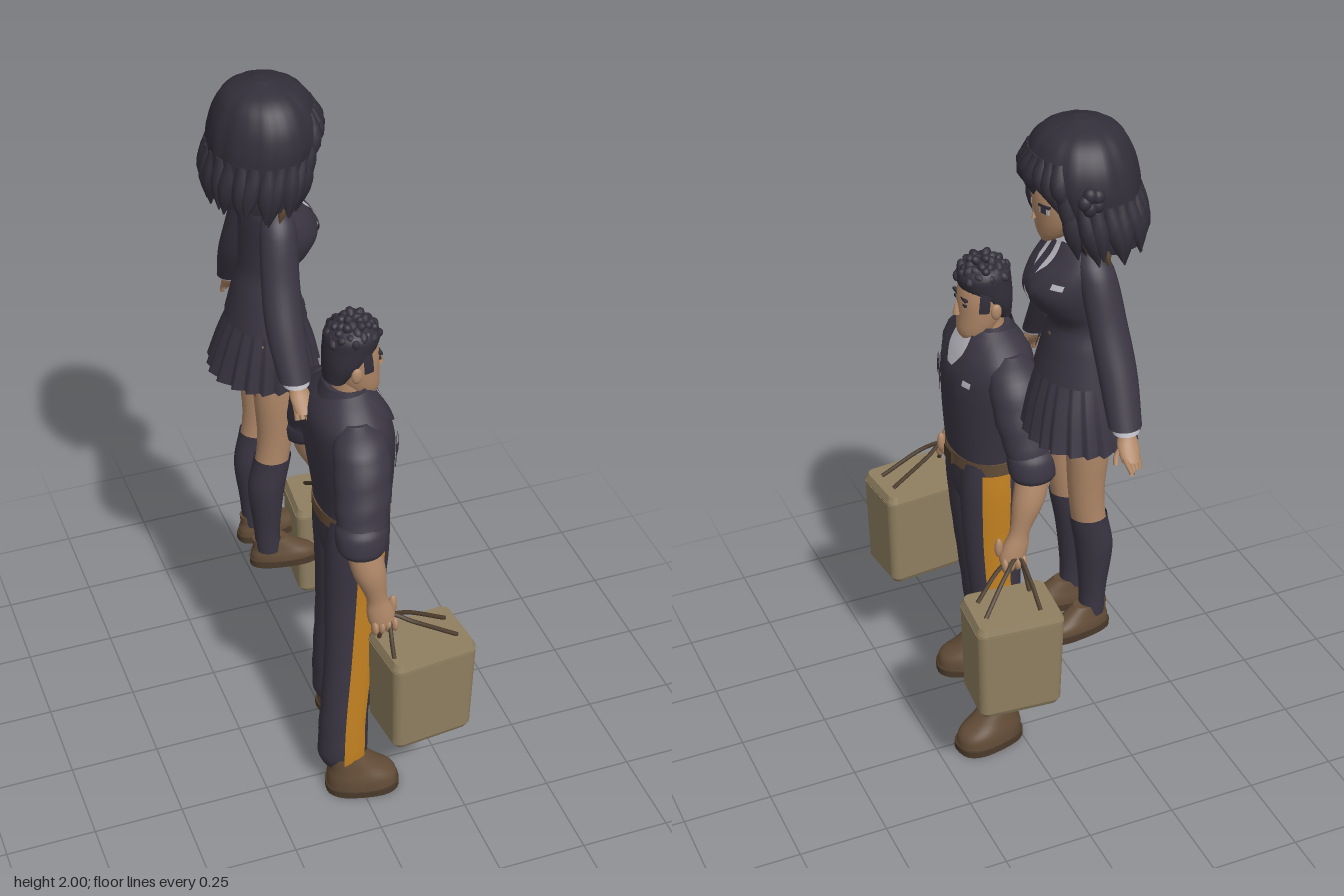
import * as THREE from 'three';
import { RoundedBoxGeometry } from 'three/addons/geometries/RoundedBoxGeometry.js';

const mat = (name, color) => new THREE.MeshStandardMaterial({ name, color, side: THREE.DoubleSide });
const M = {
  cloth: mat('navyCloth', 0x3a3542), hair: mat('darkHair', 0x322e39), skin: mat('skin', 0xb08868),
  flush: mat('flushedSkin', 0x955848), orange: mat('orangeStripe', 0xbe7e20), canvas: mat('bagCanvas', 0x8f7f60),
  leather: mat('brownLeather', 0x624c37), strap: mat('darkStrap', 0x4a3a2b), shirt: mat('paleShirt', 0xb9b9c0),
};
const PI = Math.PI, H = PI / 2;

function add(parent, name, geo, material, x = 0, y = 0, z = 0) {
  const m = new THREE.Mesh(geo, material);
  m.name = name; m.position.set(x, y, z); parent.add(m);
  return m;
}

// Smooth interpolation of sections [y, centreX, centreZ, radiusX, radiusZ]
function at(S, y) {
  let i = 0;
  while (i < S.length - 2 && y > S[i + 1][0]) i++;
  const a = S[i], b = S[i + 1], p = S[i - 1] || a, n = S[i + 2] || b, h = b[0] - a[0], t = (y - a[0]) / h;
  return [1, 2, 3, 4].map(k => {
    const m0 = (b[k] - p[k]) / (b[0] - p[0]) * h, m1 = (n[k] - a[k]) / (n[0] - a[0]) * h;
    const v = (2 * t ** 3 - 3 * t * t + 1) * a[k] + (t ** 3 - 2 * t * t + t) * m0 + (3 * t * t - 2 * t ** 3) * b[k] + (t ** 3 - t * t) * m1;
    return k > 2 ? Math.max(v, 0.001) : v;
  });
}

// Stacked-ellipse surface; an angle range [a0, a1] gives a thin patch lying on it (angle 0 faces +x)
function loft(S, o = {}) {
  S = [...S].sort((a, b) => a[0] - b[0]);
  const { y0 = S[0][0], y1 = S.at(-1)[0], a0, a1, grow = 0, seg = 28, rows = 6 * (S.length - 1), e = 1, open = false, ripple } = o;
  const full = a0 === undefined, cols = full ? seg : seg + 1, pos = [], idx = [];
  const val = (f, t) => typeof f === 'function' ? f(t) : f;
  const pw = v => Math.sign(v) * Math.abs(v) ** e;
  for (let i = 0; i <= rows; i++) {
    const t = (1 - Math.cos(PI * i / rows)) / 2, y = y0 + (y1 - y0) * t, [cx, cz, rx, rz] = at(S, y);
    for (let j = 0; j < cols; j++) {
      const a = full ? j / seg * 2 * PI : val(a0, t) + (val(a1, t) - val(a0, t)) * j / seg;
      const k = ripple ? ripple(a, t) : 1;
      pos.push(cx + pw(Math.cos(a)) * (rx + grow) * k, y, cz + pw(Math.sin(a)) * (rz + grow) * k);
    }
  }
  for (let i = 0; i < rows; i++) for (let j = 0; j < seg; j++) {
    const k = (j + 1) % cols, p = i * cols, q = p + cols;
    idx.push(p + j, q + j, p + k, q + j, q + k, p + k);
  }
  if (full && !open) for (const r of [0, rows]) {
    const base = pos.length / 3, [cx, cz] = at(S, r ? y1 : y0);
    for (let j = 0; j < cols; j++) pos.push(...pos.slice((r * cols + j) * 3, (r * cols + j) * 3 + 3));
    pos.push(cx, r ? y1 : y0, cz);
    for (let j = 0; j < cols; j++) {
      const k = base + (j + 1) % cols;
      idx.push(base + cols, ...(r ? [k, base + j] : [base + j, k]));
    }
  }
  const g = new THREE.BufferGeometry();
  g.setAttribute('position', new THREE.Float32BufferAttribute(pos, 3));
  g.setIndex(idx); g.computeVertexNormals();
  return g;
}
const ball = (rx, ry, rz) => new THREE.SphereGeometry(1, 14, 10).scale(rx, ry, rz);
const tube = (pts, r) => new THREE.TubeGeometry(new THREE.CatmullRomCurve3(pts.map(p => new THREE.Vector3(...p))), 20, r, 7);
// Mirror sections across the plane z = c, with an x shift growing downward from y = top
const mirror = (S, c, top = 0, shift = 0) => S.map(([y, x, z, a, b]) => [y, x + Math.max(0, top - y) * shift, 2 * c - z, a, b]);

function shoe(parent, x, y, z, turn, len, wid, high) {
  const g = new THREE.Group(); g.name = 'shoe'; g.position.set(x, y, z); g.rotation.y = turn; parent.add(g);
  add(g, 'sole', loft([[0, 0, 0, len, wid], [.02, 0, 0, len, wid]], { e: .75 }), M.strap);
  add(g, 'shoeUpper', loft([[.016, 0, 0, len * .97, wid * .95], [high * .42, -.004, 0, len * .92, wid * .92],
    [high * .65, -len * .2, 0, len * .7, wid * .8], [high, -len * .42, 0, len * .5, wid * .65]], { e: .85 }), M.leather);
}

function bag(parent, x, y, z, turn, hx, hz) {
  const g = new THREE.Group(); g.name = 'carryBag'; g.position.set(x, y, z); g.rotation.y = turn; parent.add(g);
  // Rounded case, narrowing slightly below and bevelled at the lid
  const [hw, hd, r] = [.122, .09, .025], s = new THREE.Shape();
  [[hw - r, hd - r, 0], [r - hw, hd - r, H], [r - hw, r - hd, PI], [hw - r, r - hd, 3 * H]].forEach(([cx, cy, a]) => s.absarc(cx, cy, r, a, a + H));
  const ring = (yy, h, top, low, name) => {
    const geo = new THREE.ExtrudeGeometry(s, { depth: h, bevelEnabled: false, curveSegments: 5 }).rotateX(-H), p = geo.attributes.position;
    for (let i = 0; i < p.count; i++) {
      const k = p.getY(i) > h / 2 ? top : low;
      p.setXYZ(i, p.getX(i) * k, p.getY(i), p.getZ(i) * k);
    }
    geo.computeVertexNormals();
    add(g, name, geo, M.canvas, 0, yy, 0);
  };
  ring(-.15, .014, .95, .88, 'bagBase');
  ring(-.136, .261, 1, .95, 'bagBody');
  ring(.125, .006, .985, .985, 'lidSeam');
  ring(.131, .019, .93, 1, 'bagLid');
  for (const q of [-1, 1]) add(g, 'bagHandle', tube([[hx - .01, .148, .045 * q], [hx - .005, .2, hz * .6 + .025 * q],
    [hx + .01, .243, hz], [hx + .06, .222, hz * .7 + .02 * q], [.085, .152, .036 * q]], .006), M.strap);
}

function worker() {
  const g = new THREE.Group(), C = .155; g.name = 'workerFigure';
  // Torso with placket, pockets and badge
  const T = [[.88, .03, C, .093, .126], [.95, .03, C, .099, .133], [1.05, .025, C, .108, .148], [1.15, .018, C, .112, .162],
    [1.21, .01, C, .1, .16], [1.25, .01, C, .08, .118], [1.285, .015, C, .055, .068]];
  const P = (name, m, y0, y1, a0, a1, grow) => add(g, name, loft(T, { e: .9, seg: 8, y0, y1, a0, a1, grow }), m);
  add(g, 'workShirt', loft(T, { e: .9, seg: 40 }), M.cloth);
  P('undershirt', M.shirt, 1.18, 1.27, t => -.06 - .38 * t, t => .06 + .38 * t, .004);
  P('placket', M.cloth, .92, 1.18, -.06, .06, .004);
  for (const s of [-1, 1]) {
    P('chestPocket', M.cloth, 1.06, 1.14, s * .55 - .2, s * .55 + .2, .004);
    P('pocketFlap', M.cloth, 1.115, 1.145, s * .55 - .23, s * .55 + .23, .008);
    P('collarWing', M.cloth, 1.18, 1.275, t => s * (.12 + .3 * t), t => s * (.3 + .9 * t), .008);
  }
  P('badge', M.shirt, 1.153, 1.17, -.65, -.45, .007);
  add(g, 'collar', loft([[1.24, .01, C, .078, .085], [1.295, .01, C, .06, .066]], { a0: .6, a1: 2 * PI - .6 }), M.cloth);
  add(g, 'hips', loft([[.69, .03, C, .045, .03], [.78, .03, C, .088, .11], [.9, .03, C, .095, .13]]), M.cloth);
  add(g, 'belt', loft([[.874, .03, C, .1, .134], [.91, .03, C, .1, .134]]), M.leather);
  add(g, 'beltBuckle', new THREE.BoxGeometry(.009, .038, .048), M.strap, .132, .892, C);
  // Head
  const F = [[1.245, .062, C, .024, .028], [1.27, .052, C, .048, .047], [1.32, .037, C, .063, .061], [1.38, .03, C, .068, .065], [1.45, .025, C, .055, .055]];
  add(g, 'neck', loft([[1.2, .015, C, .048, .052], [1.33, .02, C, .045, .048]]), M.skin);
  add(g, 'head', loft(F), M.skin);
  add(g, 'nose', new THREE.ConeGeometry(.012, .042, 8), M.skin, .103, 1.348, C);
  add(g, 'mouth', new THREE.BoxGeometry(.006, .005, .03), M.flush, .094, 1.302, C);
  for (const s of [-1, 1]) {
    add(g, 'ear', ball(.015, .023, .009), M.skin, .018, 1.345, C + s * .066);
    add(g, 'eye', new THREE.BoxGeometry(.008, .007, .02), M.hair, .091, 1.362, C + s * .026);
    add(g, 'eyebrow', new THREE.BoxGeometry(.009, .006, .03), M.hair, .092, 1.379, C + s * .027);
    add(g, 'sideburn', loft(F, { seg: 6, y0: 1.345, y1: 1.41, a0: s * 1.1, a1: s * 1.5, grow: .004 }), M.hair);
  }
  add(g, 'hairCap', loft([[1.31, -.018, C, .03, .045], [1.36, .004, C, .054, .066], [1.41, .024, C, .072, .07], [1.45, .027, C, .066, .064], [1.477, .025, C, .02, .02]]), M.hair);
  for (let i = 0; i < 44; i++) {
    const a = i * 2.4, t = .04 + .96 * i / 44, r = Math.sqrt(t);
    const c = add(g, 'hairCurl', new THREE.IcosahedronGeometry(.016, 1).scale(1.1, .8, .8), M.hair,
      .028 + Math.cos(a) * r * .068, 1.477 - t * .05 + .004 * (i % 3), C + Math.sin(a) * r * .064);
    c.rotation.set(i, a, i * .7);
  }
  // Limbs: right side first, then its mirror set further forward
  const sleeve = [[1.24, 0, .265, .03, .03], [1.2, 0, .298, .068, .06], [1.1, -.01, .345, .075, .066], [1.0, -.028, .392, .066, .056]];
  const cuff = [[.94, -.033, .41, .056, .048], [.955, -.033, .407, .066, .056], [1.0, -.03, .395, .07, .059], [1.02, -.028, .388, .062, .053]];
  const fore = [[.97, -.035, .405, .045, .044], [.88, -.02, .425, .044, .039], [.79, 0, .433, .028, .024], [.75, .008, .435, .036, .026], [.71, .015, .436, .036, .026], [.69, .015, .436, .02, .018]];
  const leg = [[.085, -.035, .28, .06, .06], [.12, -.035, .28, .07, .067], [.25, -.028, .272, .068, .065], [.45, -.005, .252, .072, .064],
    [.65, .015, .228, .082, .072], [.8, .025, .217, .088, .077], [.9, .03, .212, .085, .07]];
  for (const s of [1, -1]) {
    const side = (S, top, k) => s > 0 ? S : mirror(S, C, top, k), arm = S => side(S, 1.2, .11), L = side(leg, .9, .095);
    const folds = (a, t) => 1 + .018 * Math.sin(t * 46 + a * 2) * (1 - t);
    add(g, 'trouserLeg', loft(L, { rows: 40, ripple: folds }), M.cloth);
    add(g, 'sideStripe', loft(L, { seg: 10, rows: 40, y0: .1, y1: .875, a0: s * (H - .18) - .44, a1: s * (H - .18) + .44, grow: .005 }), M.orange);
    add(g, 'sleeve', loft(arm(sleeve), { ripple: (a, t) => 1 + .02 * Math.sin(t * 22 + a) }), M.cloth);
    add(g, 'rolledCuff', loft(arm(cuff)), M.cloth);
    add(g, 'forearmAndHand', loft(arm(fore)), M.skin);
    const [hx, hz] = s > 0 ? [.015, .436] : [.069, -.126];
    for (let i = 0; i < 4; i++) add(g, 'finger', ball(.01, .022, .016), M.skin, hx - .026 + i * .018, .703, hz + s * .016);
    add(g, 'thumb', ball(.012, .03, .011), M.skin, hx + .033, .745, hz - s * .012);
  }
  shoe(g, .01, 0, .318, -.22, .104, .064, .125);
  shoe(g, .095, 0, -.018, .22, .104, .064, .125);
  bag(g, .123, .485, .452, .1, -.095, -.015);
  bag(g, .11, .48, -.22, -.08, -.055, .08);
  return g;
}

function student() {
  const g = new THREE.Group(), C = -.18; g.name = 'studentFigure';
  // Jacket, shirt, tie and skirt
  const J = [[1.31, -.09, C, .106, .134], [1.4, -.09, C, .085, .108], [1.46, -.087, C, .073, .09], [1.51, -.065, C, .092, .102],
    [1.56, -.053, C, .102, .113], [1.61, -.062, C, .09, .116], [1.655, -.077, C, .066, .105], [1.695, -.078, C, .042, .055]];
  const V = (name, m, y0, y1, lo, hi, grow, s = 0) => add(g, name, loft(J, { seg: 10, y0, y1, grow,
    a0: t => s ? s * (lo + .3 * t) : -lo - (hi - lo) * t, a1: t => s ? s * (lo + .08 + hi * t) : lo + (hi - lo) * t }), m);
  add(g, 'jacket', loft(J, { seg: 40 }), M.cloth);
  V('shirtFront', M.shirt, 1.6, 1.695, .02, .65, .003);
  V('tie', M.cloth, 1.59, 1.685, .08, .13, .006);
  for (const s of [-1, 1]) {
    V('lapel', M.cloth, 1.53, 1.69, .05, .75, .005, s);
    add(g, 'pocketFlap', loft(J, { seg: 8, y0: 1.35, y1: 1.372, a0: s * .75 - .25, a1: s * .75 + .25, grow: .006 }), M.cloth);
  }
  for (const y of [1.42, 1.48]) add(g, 'button', ball(.005, .007, .007), M.strap, at(J, y)[0] + at(J, y)[2], y, C);
  add(g, 'badge', loft(J, { seg: 4, y0: 1.592, y1: 1.606, a0: -.95, a1: -.65, grow: .006 }), M.shirt);
  add(g, 'shirtCollar', loft([[1.67, -.072, C, .052, .06], [1.715, -.072, C, .04, .042]], { a0: .25, a1: 2 * PI - .25 }), M.shirt);
  add(g, 'pleatedSkirt', loft([[1.14, -.092, -.2, .146, .165], [1.24, -.09, -.19, .122, .143], [1.34, -.09, C, .088, .112]],
    { seg: 132, open: true, ripple: (a, t) => 1 + .06 * (1 - t * .7) * (2 * ((a * 22 / (2 * PI)) % 1) - 1) }), M.cloth);
  // Legs and arms
  const leg = [[.56, -.115, -.237, .03, .03], [.64, -.118, -.237, .032, .032], [.78, -.118, -.238, .046, .045], [.88, -.1, -.24, .046, .043],
    [.96, -.092, -.241, .048, .046], [1.1, -.092, -.245, .058, .053], [1.28, -.09, -.24, .068, .058]];
  const sleeve = [[1.68, -.085, -.25, .025, .025], [1.64, -.088, -.278, .045, .04], [1.5, -.1, -.33, .05, .041], [1.39, -.105, -.378, .05, .044], [1.275, -.1, -.437, .043, .036]];
  const hand = [[1.3, -.1, -.425, .022, .024], [1.26, -.098, -.448, .022, .02], [1.235, -.095, -.465, .028, .02], [1.205, -.092, -.49, .024, .016]];
  for (const s of [-1, 1]) {
    const side = S => s < 0 ? S : mirror(S, C + .004), L = side(leg), z = v => C + s * v;
    add(g, 'leg', loft(L), M.skin);
    add(g, 'thigh', loft(L, { y0: t => 0, y0: 1.105, y1: 1.27, a0: -s * H - 1.9, a1: -s * H + 1.9, grow: .002 }), M.flush);
    add(g, 'kneeSock', loft(L, { y0: .56, y1: .885, a0: 0, a1: 2 * PI, grow: .005 }), M.cloth);
    shoe(g, -.07, .507, z(.066), -s * .15, .097, .041, .085);
    add(g, 'sleeve', loft(side(sleeve)), M.cloth);
    add(g, 'shirtCuff', loft(side([[1.262, -.099, -.445, .034, .029], [1.285, -.1, -.434, .036, .03]])), M.shirt);
    add(g, 'hand', loft(side(hand)), M.skin);
    for (let i = 0; i < 4; i++) {
      const reach = [.018, .026, .036, .052][i];
      add(g, 'finger', tube([[-.112 + i * .012, 1.22, z(.296)], [-.112 + i * .012, 1.204, z(.3 + reach / 2)], [-.112 + i * .012, 1.182 + i * .004, z(.3 + reach)]], .007), M.skin);
    }
    add(g, 'thumb', tube([[-.078, 1.235, z(.285)], [-.062, 1.215, z(.29)], [-.056, 1.195, z(.3)]], .007), M.skin);
  }
  // Head
  add(g, 'neck', loft([[1.66, -.075, C, .034, .034], [1.78, -.075, C, .034, .034]]), M.skin);
  add(g, 'head', loft([[1.692, 0, C, .012, .014], [1.715, -.02, C, .042, .046], [1.76, -.048, C, .078, .08], [1.82, -.06, C, .092, .09], [1.9, -.08, C, .085, .085]]), M.skin);
  add(g, 'nose', new THREE.ConeGeometry(.006, .018, 6), M.skin, .034, 1.765, C);
  add(g, 'mouth', new THREE.BoxGeometry(.005, .004, .02), M.flush, .016, 1.733, C);
  for (const s of [-1, 1]) {
    const e = add(g, 'eyeWhite', new THREE.BoxGeometry(.006, .018, .03), M.shirt, .022, 1.792, C + s * .038);
    const i = add(g, 'iris', new THREE.BoxGeometry(.008, .018, .016), M.cloth, .023, 1.792, C + s * .037);
    const l = add(g, 'lash', new THREE.BoxGeometry(.009, .006, .036), M.hair, .023, 1.803, C + s * .039);
    for (const m of [e, i, l]) m.rotation.y = -s * .35;
  }
  // Hair: crown, curtain open at the face, and pointed locks flicking outward
  const R = [[1.69, -.12, C - .003, .11, .16], [1.74, -.11, C - .003, .127, .166], [1.8, -.1, C, .133, .158], [1.87, -.088, C, .138, .153],
    [1.93, -.086, C, .122, .132], [1.975, -.088, C, .088, .09], [2, -.09, C, .02, .02]];
  const wave = a => 1 + .01 * Math.sin(a * 11) + .008 * Math.sin(a * 18);
  add(g, 'hairCrown', loft(R, { y0: 1.855, seg: 64, rows: 24, ripple: wave }), M.hair);
  add(g, 'hairCurtain', loft(R, { y0: 1.705, y1: 1.87, a0: .76, a1: 2 * PI - .76, seg: 64, ripple: wave }), M.hair);
  // A lock runs down the shell from angle a, sweeping sideways and ending at radius factor kEnd
  const lock = (name, a, yTop, yEnd, r, sweep = 0, kEnd = 1, m = M.hair) => {
    const P = (y, b, k) => { const [x, z, rx, rz] = at(R, Math.max(y, 1.69)); return [x + Math.cos(b) * rx * k, z + Math.sin(b) * rz * k]; };
    const mid = (yTop + yEnd) / 2;
    add(g, name, loft([[yEnd, ...P(yEnd, a + sweep, kEnd), .002, .002], [mid, ...P(mid, a + sweep * .4, .95), r, r], [yTop, ...P(yTop, a, .93), r * .6, r * .6]], { seg: 8, rows: 9 }), m);
  };
  for (let i = 0; i < 20; i++) lock('hairLock', .82 + i * (2 * PI - 1.64) / 19, 1.83, 1.67 + .012 * ((i * 7) % 3), .026, i % 2 ? .1 : -.07, 1 + .05 * (i % 3));
  for (let i = 0; i < 8; i++) {
    const d = (i - 3.5) * .19;
    lock('fringeLock', d, 1.93, 1.84 - .045 * Math.abs(d) - (i % 2) * .018, .024, d > -.15 ? .12 : -.12, .96);
  }
  for (const s of [-1, 1]) {
    lock('faceLock', s * .74, 1.89, 1.69, .024, s * .12, .95);
    lock('innerLock', s * .98, 1.77, 1.672, .016, s * .1, .86, M.leather);
    lock('innerLock', s * 1.25, 1.75, 1.67, .015, s * .1, .97, M.leather);
  }
  for (let i = 0; i < 5; i++) add(g, 'hairKnot', ball(.018, .02, .016), M.hair, -.05 + Math.cos(i * 1.26) * .018, 1.85 + Math.sin(i * 1.26) * .018, -.328);
  return g;
}

export function createModel() {
  const model = new THREE.Group(); model.name = 'workerAndStudent';
  model.add(worker(), student());
  return model;
}
